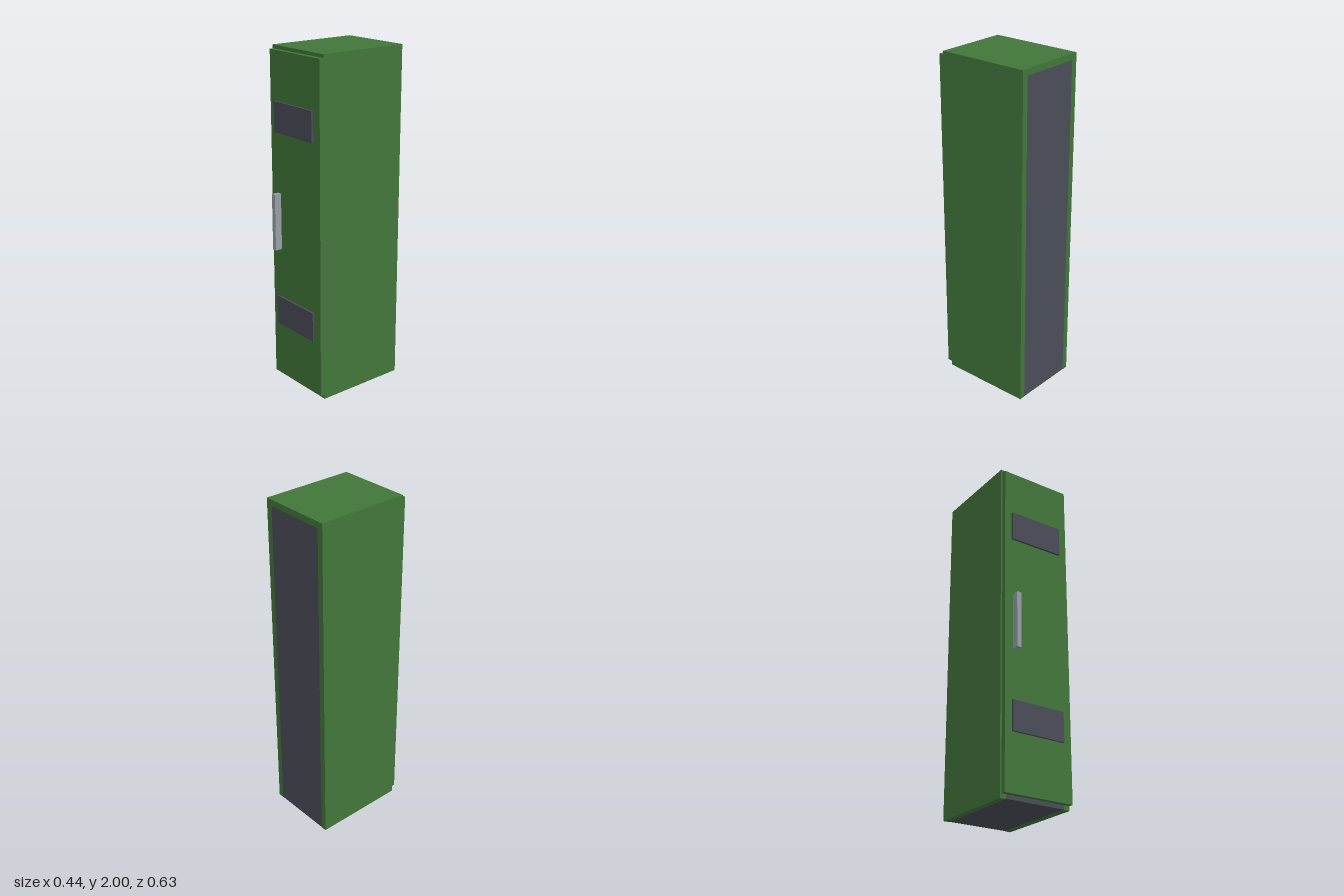
import * as THREE from 'three';

export function createModel() {
  const group = new THREE.Group();
  group.name = 'cabinet';

  const material = (name, color) => {
    const m = new THREE.MeshStandardMaterial({ color });
    m.name = name;
    return m;
  };
  const green = material('green paint', 0x41763a);
  const dark = material('dark grey', 0x4b4d58);
  const steel = material('light steel', 0x969fa5);

  // Box given by its extents along each axis
  const box = (name, mat, [x0, x1], [y0, y1], [z0, z1]) => {
    const mesh = new THREE.Mesh(new THREE.BoxGeometry(x1 - x0, y1 - y0, z1 - z0), mat);
    mesh.position.set((x0 + x1) / 2, (y0 + y1) / 2, (z0 + z1) / 2);
    mesh.name = name;
    group.add(mesh);
  };

  const W = 0.222, BACK = -0.314, FRONT = 0.242, T = 0.036;
  const inner = [-W + T, W - T];

  // Carcass: two sides and a top, with dark bottom and back set between them
  box('rightSide', green, [-W, -W + T], [0, 2], [BACK, FRONT]);
  box('leftSide', green, [W - T, W], [0, 2], [BACK, FRONT]);
  box('top', green, inner, [2 - T, 2], [BACK, FRONT]);
  box('bottom', dark, inner, [0.002, T], [BACK + 0.015, FRONT]);
  box('backPanel', dark, inner, [0.002, 2 - T], [BACK, BACK + 0.015]);

  // Door, a little shorter and narrower than the carcass
  box('door', green, [-0.212, W], [0.026, 1.98], [FRONT, 0.27]);

  // Raised plates near the top and bottom of the door
  for (const y of [0.36, 1.525]) {
    box('doorPlate', dark, [-0.167, 0.167], [y, y + 0.175], [0.27, 0.283]);
  }

  // Upright bar handle
  box('handle', steel, [-0.16, -0.132], [0.835, 1.17], [0.27, 0.313]);

  return group;
}
